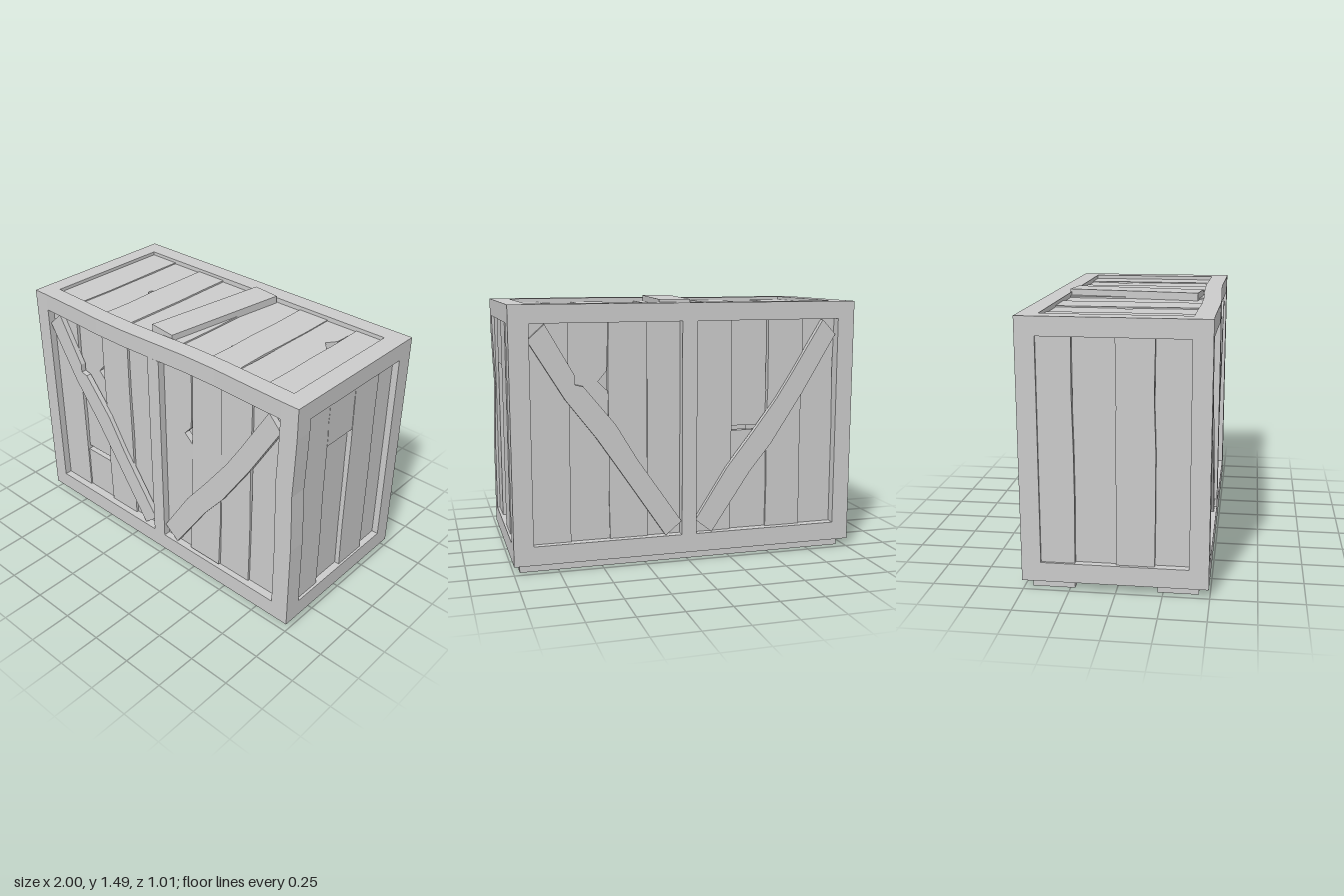
import * as THREE from 'three';

const material = new THREE.MeshStandardMaterial({ color: 0xcccccc, flatShading: true });

// small seeded generator, -1..1
let seed = 11;
const rnd = () => {
  seed = (seed * 16807) % 2147483647;
  return (seed / 2147483647) * 2 - 1;
};

function mesh(name, geometry) {
  const m = new THREE.Mesh(geometry, material);
  m.name = name;
  return m;
}

// box from min/max corners; warp(position) may bend it along its length
function beam(name, x0, x1, y0, y1, z0, z1, warp) {
  const seg = (d) => (warp && d > 0.7 ? 8 : 1);
  const g = new THREE.BoxGeometry(x1 - x0, y1 - y0, z1 - z0, seg(x1 - x0), seg(y1 - y0), seg(z1 - z0));
  g.translate((x0 + x1) / 2, (y0 + y1) / 2, (z0 + z1) / 2);
  if (warp) {
    const p = g.attributes.position, v = new THREE.Vector3();
    for (let i = 0; i < p.count; i++) {
      v.fromBufferAttribute(p, i);
      warp(v);
      p.setXYZ(i, v.x, v.y, v.z);
    }
  }
  return mesh(name, g);
}

// flat board cut from an outline, back face at z
function board(name, points, z, thickness) {
  const shape = new THREE.Shape(points.map(([x, y]) => new THREE.Vector2(x, y)));
  const g = new THREE.ExtrudeGeometry(shape, { depth: thickness, bevelEnabled: false });
  g.translate(0, 0, z);
  return mesh(name, g);
}

// outline of an uneven plank, with an optional notch [v, depth, halfHeight] in its right edge
function plankOutline(u0, u1, v0, v1, notch) {
  const at = (t) => v0 + (v1 - v0) * t;
  const right = [0.3, 0.52, 0.75].map((t) => [u1 + rnd() * 0.006, at(t)]);
  if (notch && notch[0] > v0 && notch[0] < v1) {
    const [v, depth, h] = notch;
    const kept = right.filter((p) => Math.abs(p[1] - v) > h + 0.02);
    kept.push([u1, v - h], [u1 - depth, v], [u1 - 0.01, v + h]);
    right.splice(0, right.length, ...kept.sort((a, b) => a[1] - b[1]));
  }
  const left = [0.7, 0.48, 0.25].map((t) => [u0 + rnd() * 0.006, at(t)]);
  return [[u0, v0], [u1, v0], ...right, [u1, v1], [u0, v1], ...left];
}

// row of planks between bounds, every second one set deeper by step and tucked under its neighbours
// flaws = { plankIndex: { notch, cut: [low, high], raise (of the piece above the cut), lean } }
function plankRow(name, bounds, [v0, v1], recess, step, flaws = {}) {
  const row = new THREE.Group();
  row.name = name;
  const thickness = 0.038, last = bounds.length - 2;
  for (let i = 0; i <= last; i++) {
    const f = flaws[i] || {};
    const gap = i % 2 ? -0.004 : 0.003;
    const u0 = bounds[i] + (i ? gap : -0.01);
    const u1 = bounds[i + 1] - (i < last ? gap : -0.01);
    const z = -recess - thickness - (i % 2) * step + rnd() * 0.003;
    const low = f.lean ? v0 + 0.01 : v0 - 0.02, high = v1 + 0.02;
    const spans = f.cut ? [[low, f.cut[0]], [f.cut[1], high]] : [[low, high]];
    spans.forEach(([a, b], k) => {
      const plank = board('plank', plankOutline(u0, u1, a, b, f.notch), z + (k ? f.raise : 0), thickness);
      if (f.lean) {
        plank.rotation.x = f.lean;
        plank.position.z = 0.035;
      }
      row.add(plank);
    });
  }
  return row;
}

const wallSpan = [0.157, 1.375];

// long face: two rows of planks, each crossed by a diagonal brace
function longFace(name, shift, leftFlaws, rightFlaws) {
  const g = new THREE.Group();
  g.name = name;
  const row = (n, bounds, flaws) => {
    const shifted = bounds.map((u, i) => (i % 4 ? u + shift : u));
    g.add(plankRow(n, shifted, wallSpan, 0.04, 0.012, flaws));
  };
  row('leftPlanks', [-0.9, -0.685, -0.468, -0.245, -0.045], leftFlaws);
  row('rightPlanks', [0.04, 0.252, 0.467, 0.687, 0.89], rightFlaws);
  g.add(board('leftBrace', [
    [-0.9, 1.285], [-0.7, 0.96], [-0.53, 0.74], [-0.4, 0.55], [-0.135, 0.157], [-0.042, 0.235],
    [-0.3, 0.61], [-0.42, 0.81], [-0.6, 1.03], [-0.645, 1.04], [-0.645, 1.09], [-0.805, 1.37],
  ], -0.045, 0.032));
  g.add(board('rightBrace', [
    [0.042, 0.235], [0.14, 0.157], [0.37, 0.5], [0.5, 0.66], [0.69, 0.95], [0.89, 1.285],
    [0.81, 1.37], [0.62, 1.06], [0.53, 0.92], [0.38, 0.72], [0.23, 0.53],
  ], -0.045, 0.032));
  return g;
}

export function createModel() {
  seed = 11;
  const crate = new THREE.Group();
  crate.name = 'crate';

  // outer frame
  const frame = new THREE.Group();
  frame.name = 'frame';
  const X = [[-1, -0.9], [0.89, 1]], Y = [[0.05, 0.157], [1.375, 1.476]], Z = [[-0.505, -0.4], [0.39, 0.494]];
  const wave = (x) => Math.sin((x + 0.9) * 3.5) * Math.max(0, 1 - (x * x) / 0.8);
  X.forEach(([x0, x1], i) => Z.forEach(([z0, z1], j) => {
    const bend = i === 1 && j === 1 ? (v) => { v.x -= 0.013 * Math.max(0, 1 - Math.abs(v.y - 0.95) / 0.3); } : null;
    frame.add(beam('cornerPost', x0, x1, 0.05, 1.476, z0, z1, bend));
  }));
  Y.forEach(([y0, y1], i) => Z.forEach(([z0, z1], j) => {
    // the upper front rail is the most warped
    const bend = i && j ? (v) => {
      v.z += 0.013 * wave(v.x);
      v.y -= 0.004 * wave(v.x);
    } : null;
    frame.add(beam('longRail', -0.9, 0.89, y0, y1, z0, z1, bend));
  }));
  Y.forEach(([y0, y1]) => X.forEach(([x0, x1]) => frame.add(beam('endRail', x0, x1, y0, y1, -0.4, 0.39))));
  Z.forEach(([z0, z1]) => frame.add(beam('centrePost', -0.045, 0.042, 0.157, 1.375, z0, z1)));
  crate.add(frame);

  // front and back
  const front = longFace('frontFace', 0,
    { 1: { cut: [0.435, 0.46], raise: -0.01, notch: [1.07, 0.07, 0.07] } },
    { 0: { notch: [0.96, 0.055, 0.05] }, 1: { lean: -0.028 } });
  front.position.z = 0.494;
  const back = longFace('backFace', 0.012,
    { 1: { notch: [1.05, 0.06, 0.06] } },
    { 1: { cut: [0.74, 0.765], raise: -0.015 } });
  back.rotation.y = Math.PI;
  back.position.z = -0.505;

  // ends
  const rightEnd = plankRow('rightEndPlanks', [-0.39, -0.203, 0.01, 0.23, 0.4], wallSpan, 0.015, 0.025,
    { 1: { cut: [1.13, 1.11], raise: 0.027 } });
  rightEnd.rotation.y = Math.PI / 2;
  rightEnd.position.x = 1;
  const leftEnd = plankRow('leftEndPlanks', [-0.4, -0.215, 0, 0.21, 0.39], wallSpan, 0.015, 0.025);
  leftEnd.rotation.y = -Math.PI / 2;
  leftEnd.position.x = -1;

  // top and bottom
  const across = [-0.9, -0.7, -0.495, -0.285, -0.085, 0.105, 0.308, 0.512, 0.705, 0.89];
  const top = plankRow('topPlanks', across, [-0.385, 0.4], 0.02, 0.01,
    { 1: { notch: [-0.01, 0.035, 0.04] }, 7: { notch: [0.18, 0.05, 0.055] } });
  top.rotation.x = -Math.PI / 2;
  top.position.y = 1.476;
  const bottom = plankRow('bottomPlanks', across.map((u) => -u), [-0.4, 0.385], 0.02, 0.01);
  bottom.clear();
  const under = plankRow('bottomPlanks', across.map((u, i) => (i % 9 ? u + 0.012 : u)), [-0.4, 0.385], 0.03, 0.01,
    { 4: { notch: [0.02, 0.06, 0.06] } });
  under.rotation.x = Math.PI / 2;
  under.position.y = 0.05;
  crate.add(front, back, rightEnd, leftEnd, top, under);

  // loose plank lying askew on the top
  const loose = board('loosePlank', [[-0.135, -0.36], [0.04, -0.382], [0.145, 0.39], [-0.03, 0.41]], 0, 0.045);
  loose.rotation.x = -Math.PI / 2;
  loose.position.y = 1.447;
  crate.add(loose);

  // skids
  crate.add(beam('frontSkid', -0.955, 0.965, 0, 0.052, 0.22, 0.44));
  crate.add(beam('backSkid', -0.955, 0.965, 0, 0.052, -0.455, -0.225));
  return crate;
}
